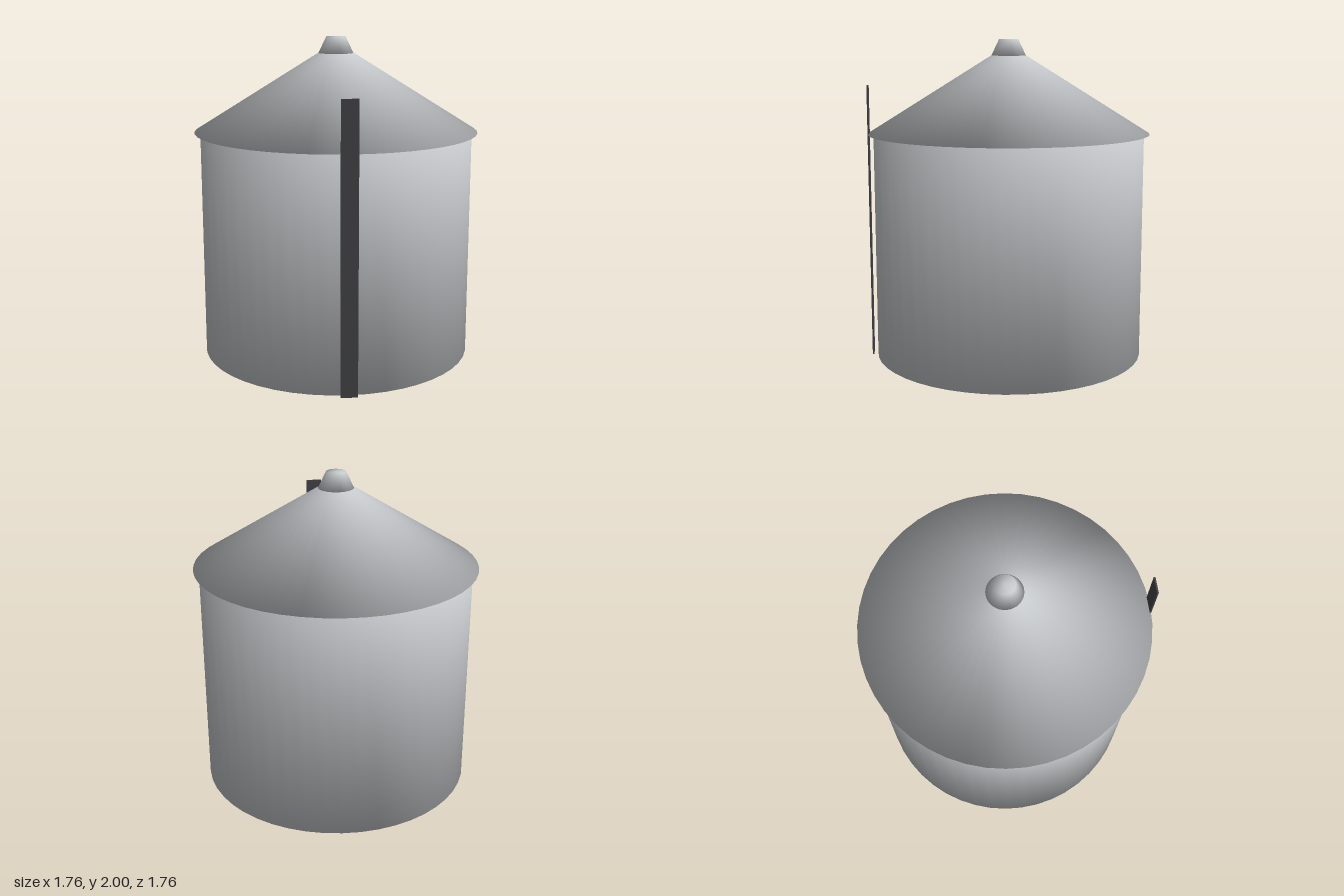
import * as THREE from 'three';

const SIDES = 48;

export function createModel() {
  const silo = new THREE.Group();
  silo.name = 'silo';

  const steel = new THREE.MeshStandardMaterial({ color: 0xc6c9cc });
  steel.name = 'galvanised steel';
  const dark = new THREE.MeshStandardMaterial({ color: 0x444449 });
  dark.name = 'dark metal';

  const add = (name, geometry, material) => {
    const mesh = new THREE.Mesh(geometry, material);
    mesh.name = name;
    silo.add(mesh);
    return mesh;
  };

  // Closed, smooth frustum: flat base, sloping side, flat top
  const frustum = (name, r0, y0, r1, y1) => add(name, new THREE.LatheGeometry([
    new THREE.Vector2(0, y0), new THREE.Vector2(r0, y0),
    new THREE.Vector2(r1, y1), new THREE.Vector2(0, y1),
  ], SIDES), steel);

  // Round bin, overhanging conical roof and the small vent cap on top
  frustum('tankWall', 0.845, 0.01, 0.845, 1.42);
  frustum('roof', 0.88, 1.42, 0.11, 1.9);
  frustum('ventCap', 0.11, 1.895, 0.06, 2.0);

  // Tiny drain stub under the floor
  const drain = add('drainStub', new THREE.CylinderGeometry(0.004, 0.004, 0.012, 8), steel);
  drain.position.y = 0.006;

  // Upright ladder strip at the front, just touching the eave
  const ladder = add('ladder', new THREE.BoxGeometry(0.1, 1.71, 0.01), dark);
  ladder.position.set(0, 0.865, 0.874);

  return silo;
}
